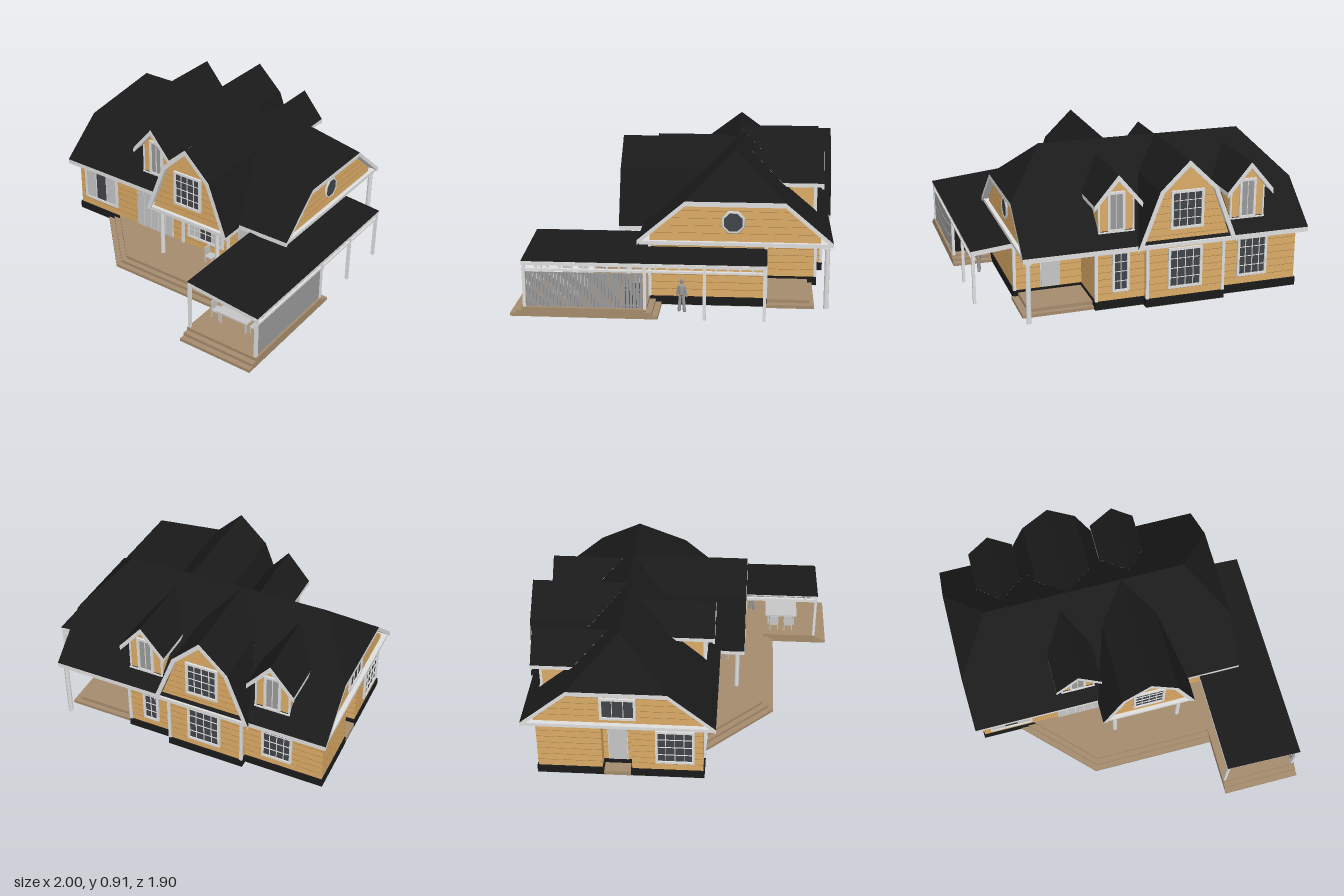
import * as THREE from 'three';

const mat = (name, color) => Object.assign(new THREE.MeshStandardMaterial({ color }), { name });

export function createModel() {
  const wood = mat('log wood', 0xdcab66), groove = mat('log joint', 0xa37a46), roof = mat('roof black', 0x1a1a1a),
    trim = mat('trim white', 0xdedede), deckM = mat('deck brown', 0xa58b6d), base = mat('foundation black', 0x1a1a1a),
    grey = mat('light grey', 0xc6c6c6), glass = mat('dark glass', 0x414448), stone = mat('figure grey', 0x9a9a9a),
    white = mat('ceiling white', 0xffffff);
  const model = new THREE.Group();

  const add = (parent, name, geo, m) => {
    const mesh = new THREE.Mesh(geo, m);
    mesh.name = name;
    parent.add(mesh);
    return mesh;
  };
  const group = (parent, name, x = 0, y = 0, z = 0, ry = 0) => {
    const g = new THREE.Group();
    g.name = name;
    g.position.set(x, y, z);
    g.rotation.y = ry;
    parent.add(g);
    return g;
  };
  // box from its limits
  const box = (parent, name, x0, x1, y0, y1, z0, z1, m) => {
    const b = add(parent, name, new THREE.BoxGeometry(x1 - x0, y1 - y0, z1 - z0), m);
    b.position.set((x0 + x1) / 2, (y0 + y1) / 2, (z0 + z1) / 2);
    return b;
  };
  const shapeOf = pts => new THREE.Shape(pts.map(p => new THREE.Vector2(p[0], p[1])));
  // horizontal slab from an [x, z] outline, grown sideways by "grow"
  const slab = (parent, name, pts, y0, y1, m, grow = 0) => {
    const geo = new THREE.ExtrudeGeometry(shapeOf(pts.map(([x, z]) => [x, -z])), {
      depth: y1 - y0, bevelEnabled: grow > 0, bevelSize: grow, bevelThickness: 0.0005, bevelSegments: 1 });
    geo.rotateX(-Math.PI / 2).translate(0, y0, 0);
    return add(parent, name, geo, m);
  };
  // sloping roof panel: dark on top, white on its edges and underside
  const panel = (parent, name, points, t = 0.03) => {
    const n = points.length, next = i => points[(i + 1) % n];
    const up = points.reduce((s, p, i) => s + (p[2] - next(i)[2]) * (p[0] + next(i)[0]), 0);
    const p = up > 0 ? points : [...points].reverse();
    const low = p.map(([x, y, z]) => [x, y - t, z]), v = [];
    for (let i = 1; i < n - 1; i++) v.push(...p[0], ...p[i], ...p[i + 1]);
    const top = v.length / 3;
    for (let i = 1; i < n - 1; i++) v.push(...low[0], ...low[i + 1], ...low[i]);
    for (let i = 0; i < n; i++) {
      const j = (i + 1) % n;
      v.push(...low[i], ...low[j], ...p[j], ...low[i], ...p[j], ...p[i]);
    }
    const geo = new THREE.BufferGeometry();
    geo.setAttribute('position', new THREE.Float32BufferAttribute(v, 3));
    geo.computeVertexNormals();
    geo.addGroup(0, top, 0);
    geo.addGroup(top, v.length / 3 - top, 1);
    return add(parent, name, geo, [roof, trim]);
  };
  // framed window facing local +z, centred on its origin
  const windowUnit = (parent, name, x, y, z, ry, w, h, cols, rows, curtains = false, pane = glass) => {
    const g = group(parent, name, x, y, z, ry), f = 0.015;
    box(g, 'pane', -w / 2, w / 2, -h / 2, h / 2, 0, 0.005, pane);
    for (const s of [-1, 1]) {
      box(g, 'jamb', s * w / 2 - f / 2, s * w / 2 + f / 2, -h / 2 - f / 2, h / 2 + f / 2, 0, 0.014, trim);
      box(g, 'rail', -w / 2, w / 2, s * h / 2 - f / 2, s * h / 2 + f / 2, 0, 0.014, trim);
      if (curtains) box(g, 'curtain', s * w / 3 - w / 6, s * w / 3 + w / 6, -h / 2, h / 2, 0.004, 0.008, grey);
    }
    for (let i = 1; i < cols; i++) box(g, 'mullion', -w / 2 + w * i / cols - 0.002, -w / 2 + w * i / cols + 0.002, -h / 2, h / 2, 0, 0.011, trim);
    for (let i = 1; i < rows; i++) box(g, 'bar', -w / 2, w / 2, -h / 2 + h * i / rows - 0.0015, -h / 2 + h * i / rows + 0.0015, 0, 0.01, trim);
  };
  // panelled door facing local +z
  const door = (parent, x, z, ry, w, leaves) => {
    const g = group(parent, 'door', x, 0.06, z, ry);
    box(g, 'doorFrame', -w / 2, w / 2, 0, 0.3, 0, 0.008, trim);
    const l = w / leaves;
    for (let i = 0; i < leaves; i++) box(g, 'doorLeaf', -w / 2 + i * l + 0.004, -w / 2 + (i + 1) * l - 0.004, 0.004, 0.285, 0, 0.012, grey);
  };

  // ground floor: foundation, log walls and joints, with a back porch and a side entry notch
  const plan = [[-0.96, 0.15], [0.74, 0.15], [0.74, -0.54], [0.32, -0.54], [0.32, -0.85], [0.02, -0.85], [0.02, -0.9],
    [-0.46, -0.9], [-0.46, -0.85], [-0.96, -0.85], [-0.96, -0.46], [-0.88, -0.46], [-0.88, -0.28], [-0.96, -0.28]];
  slab(model, 'floorSlab', plan, 0.001, 0.01, grey, 0.007);
  slab(model, 'foundation', plan, 0.004, 0.055, base, 0.008);
  slab(model, 'logWalls', plan, 0.05, 0.39, wood);
  for (let y = 0.1; y < 0.38; y += 0.045) slab(model, 'logJoint', plan, y, y + 0.002, groove, 0.001);
  for (const [x, z] of [[0.74, 0.15], [0.74, -0.54], [0.32, -0.85], [0.02, -0.9], [-0.46, -0.9]])
    box(model, 'cornerBoard', x - 0.009, x + 0.009, 0.056, 0.385, z - 0.009, z + 0.009, trim);

  // attic with end gables
  const attic = [[0.15, 0.39], [0.15, 0.43], [-0.07, 0.62], [-0.64, 0.62], [-0.86, 0.43], [-0.86, 0.39]];
  const atticGeo = new THREE.ExtrudeGeometry(shapeOf(attic.map(([z, y]) => [-z, y])), { depth: 1.7, bevelEnabled: false });
  add(model, 'atticGables', atticGeo.rotateY(Math.PI / 2).translate(-0.96, 0, 0), wood);
  for (let y = 0.45; y < 0.6; y += 0.045) {
    const d = (y - 0.43) * 1.15;
    box(model, 'gableJoint', -0.961, 0.741, y, y + 0.002, -0.85 + d, 0.14 - d, groove);
  }
  box(model, 'eaveBoard', -0.99, 0.765, 0.38, 0.402, -0.92, 0.21, trim);
  box(model, 'porchCeiling', 0.325, 0.76, 0.376, 0.381, -0.915, -0.545, white);

  // main roof with clipped end gables
  const RZ = -0.355;
  for (const s of [1, -1]) {
    const eave = RZ + s * 0.578, clip = RZ + s * 0.295;
    panel(model, 'mainRoof', [[-1, 0.41, eave], [0.775, 0.41, eave], [0.775, 0.65, clip], [0.53, 0.91, RZ], [-0.76, 0.91, RZ], [-1, 0.65, clip]]);
  }
  for (const [x, r] of [[0.775, 0.53], [-1, -0.76]])
    panel(model, 'roofHip', [[x, 0.65, RZ + 0.295], [x, 0.65, RZ - 0.295], [r, 0.91, RZ]]);

  // shared builder for cross gables and dormers; half profile runs from ridge to eave
  const onRoof = y => (0.91 - y) / 0.877;
  const roofGable = (name, cx, ry, half, inner, front, wall, wallHalf) => {
    const g = group(model, name, cx, 0, RZ, ry);
    const mirror = h => [...h.slice(1).reverse().map(([x, y]) => [-x, y]), ...h];
    for (const s of [1, -1]) for (let i = 0; i + 1 < half.length; i++) {
      const [x0, y0] = half[i], [x1, y1] = half[i + 1];
      panel(g, 'gableRoof', [[s * x0, y0, front], [s * x0, y0, onRoof(y0)], [s * x1, y1, onRoof(y1)], [s * x1, y1, front]], 0.025);
    }
    const board = shapeOf([...mirror(half.map(([x, y]) => [x, y - 0.004])), ...mirror(inner).reverse()]);
    add(g, 'bargeBoard', new THREE.ExtrudeGeometry(board, { depth: 0.014, bevelEnabled: false }).translate(0, 0, front - 0.012), trim);
    const face = new THREE.ExtrudeGeometry(shapeOf(mirror(wallHalf)), { depth: wall - 0.1, bevelEnabled: false });
    add(g, 'gableWall', face.translate(0, 0, 0.1), wood);
    return g;
  };
  const gambrel = [[0, 0.908], [0.178, 0.735], [0.308, 0.395]], gambrelIn = [[0, 0.872], [0.155, 0.722], [0.28, 0.395]];
  for (const [cx, ry, front, wall] of [[0.12, 0, 0.73, 0.7], [-0.215, Math.PI, 0.595, 0.56]]) {
    const g = roofGable('crossGable', cx, ry, gambrel, gambrelIn, front, wall, [[0, 0.875], [0.157, 0.722], [0.28, 0.395]]);
    for (let y = 0.45; y < 0.72; y += 0.045) {
      const w = 0.275 - (y - 0.4) * 0.39;
      box(g, 'gableJoint', -w, w, y, y + 0.002, wall - 0.01, wall + 0.001, groove);
    }
    box(g, 'gableSill', -0.3, 0.3, 0.385, 0.408, 0.5, front - 0.005, trim);
    windowUnit(g, 'gableWindow', 0, 0.605, wall, 0, 0.19, 0.22, 4, 4);
  }
  for (const [cx, ry, front] of [[-0.295, 0, 0.545], [-0.63, Math.PI, 0.535], [0.195, Math.PI, 0.535]]) {
    const g = roofGable('dormer', cx, ry, [[0, 0.84], [0.147, 0.665]], [[0, 0.803], [0.147, 0.63]], front, 0.485,
      [[0, 0.808], [0.108, 0.68], [0.108, 0.45]]);
    windowUnit(g, 'dormerWindow', 0, 0.605, 0.485, 0, 0.09, 0.23, 2, 1, false, stone);
    for (const s of [-1, 1]) box(g, 'dormerCorner', s * 0.105 - 0.005, s * 0.105 + 0.005, 0.48, 0.675, 0.475, 0.491, trim);
    box(g, 'dormerSill', -0.112, 0.112, 0.472, 0.486, 0.47, 0.497, trim);
  }

  // ground floor openings
  windowUnit(model, 'frontLeftWindow', -0.77, 0.24, 0.15, 0, 0.27, 0.23, 3, 1, true);
  windowUnit(model, 'frontCentreWindow', 0.12, 0.245, 0.15, 0, 0.27, 0.23, 6, 4, true);
  windowUnit(model, 'frontRightWindow', 0.61, 0.235, 0.15, 0, 0.13, 0.16, 3, 5, true);
  door(model, -0.3, 0.15, 0, 0.3, 5);
  door(model, 0.425, 0.15, 0, 0.1, 1);
  for (const [x, z, w, c] of [[-0.215, -0.9, 0.2, 4], [-0.67, -0.85, 0.18, 4], [0.17, -0.85, 0.09, 2]])
    windowUnit(model, 'backWindow', x, 0.235, z, Math.PI, w, 0.24, c, 4);
  windowUnit(model, 'leftWindow', -0.96, 0.235, -0.02, -Math.PI / 2, 0.22, 0.23, 4, 4);
  windowUnit(model, 'leftGableWindow', -0.96, 0.51, RZ, -Math.PI / 2, 0.2, 0.14, 3, 1);
  door(model, 0.52, -0.54, Math.PI, 0.12, 1);
  door(model, -0.88, -0.37, -Math.PI / 2, 0.12, 1);
  // octagonal window in the right gable
  const oct = group(model, 'octagonWindow', 0.742, 0.52, -0.345, Math.PI / 2);
  add(oct, 'octagonPane', new THREE.CircleGeometry(0.06, 8, Math.PI / 8), glass).position.z = 0.005;
  add(oct, 'octagonFrame', new THREE.TorusGeometry(0.064, 0.01, 4, 8), trim).rotation.z = Math.PI / 8;

  // front deck in three steps
  for (let i = 0; i < 3; i++) {
    const d = i * 0.035;
    slab(model, 'deckStep', [[-0.72 + 1.414 * d, 0.15], [-0.295 + 0.414 * d, 0.575 - d], [0.505, 0.575 - d], [0.505, 0.945 - d],
      [1, 0.945 - d], [1, 0.08 + d], [0.74, 0.08 + d], [0.74, 0.15]], i * 0.019, (i + 1) * 0.019, deckM);
  }
  // back porch and side entry steps
  box(model, 'porchStep', 0.32, 0.76, 0, 0.02, -0.83, -0.54, deckM);
  box(model, 'porchFloor', 0.32, 0.72, 0.02, 0.042, -0.8, -0.54, deckM);
  box(model, 'sideStep', -0.966, -0.88, 0, 0.03, -0.46, -0.28, deckM);

  // round columns and the pilasters behind them
  const column = (x, z, y0, y1) => {
    add(model, 'column', new THREE.CylinderGeometry(0.015, 0.015, y1 - y0, 12), trim).position.set(x, (y0 + y1) / 2, z);
    box(model, 'columnHead', x - 0.018, x + 0.018, y1 - 0.02, y1, z - 0.018, z + 0.018, trim);
  };
  column(-0.1, 0.33, 0.055, 0.39);
  column(0.335, 0.33, 0.055, 0.39);
  column(0.74, -0.9, 0, 0.385);
  for (const x of [-0.065, 0.3]) box(model, 'pilaster', x - 0.009, x + 0.009, 0.056, 0.385, 0.145, 0.165, trim);

  // covered terrace: sheet roof, rafters, beams, posts
  panel(model, 'terraceRoof', [[0.505, 0.387, 0.873], [1, 0.337, 0.873], [1, 0.337, -0.547], [0.505, 0.387, -0.547]], 0.006);
  for (let i = 0; i <= 20; i++) {
    const z = -0.535 + i * 0.0697, x0 = z < 0.15 ? 0.73 : 0.507, mid = (x0 + 0.995) / 2;
    const r = add(model, 'rafter', new THREE.BoxGeometry(0.995 - x0, 0.026, 0.014), trim);
    r.position.set(mid, 0.368 - 0.101 * (mid - 0.505), z);
    r.rotation.z = -0.101;
    box(model, 'beamStrut', 0.975, 0.985, 0.29, 0.325, z - 0.005, z + 0.005, trim);
  }
  box(model, 'upperBeam', 0.97, 0.995, 0.312, 0.328, -0.547, 0.873, trim);
  box(model, 'lowerBeam', 0.97, 0.995, 0.28, 0.292, -0.547, 0.873, trim);
  box(model, 'innerBeam', 0.507, 0.525, 0.338, 0.358, 0.15, 0.87, trim);
  for (const [x, z, y0, y1] of [[0.985, 0.86, 0.055, 0.32], [0.985, 0.155, 0.05, 0.32], [0.985, -0.19, 0, 0.32], [0.985, -0.535, 0, 0.32], [0.516, 0.86, 0.055, 0.37]])
    box(model, 'terracePost', x - 0.009, x + 0.009, y0, y1, z - 0.009, z + 0.009, trim);
  // slatted side screen
  for (let z = 0.167; z < 0.85; z += 0.02) box(model, 'screenSlat', 0.98, 0.988, 0.06, 0.27, z, z + 0.017, stone);
  for (const y of [0.07, 0.165, 0.258]) box(model, 'screenRail', 0.974, 0.981, y, y + 0.008, 0.155, 0.86, stone);

  // table with chairs, and grill
  box(model, 'tableTop', 0.62, 0.84, 0.135, 0.145, 0.52, 0.74, grey);
  for (const x of [0.64, 0.82]) for (const z of [0.54, 0.72]) box(model, 'tableLeg', x - 0.005, x + 0.005, 0.055, 0.136, z - 0.005, z + 0.005, grey);
  for (const [x, z, ry] of [[0.59, 0.58, 0], [0.59, 0.68, 0], [0.87, 0.58, Math.PI], [0.87, 0.68, Math.PI], [0.22, 0.24, 0], [0.62, 0.22, 1.57]]) {
    const c = group(model, 'chair', x, 0.057, z, ry);
    box(c, 'seat', -0.03, 0.03, 0.045, 0.053, -0.03, 0.03, grey);
    box(c, 'chairBack', -0.03, -0.024, 0.05, 0.115, -0.03, 0.03, grey);
    for (const a of [-0.026, 0.026]) for (const b of [-0.026, 0.026]) box(c, 'chairLeg', a - 0.003, a + 0.003, 0, 0.046, b - 0.003, b + 0.003, grey);
  }
  box(model, 'grill', 0.88, 0.97, 0.057, 0.17, 0.19, 0.27, base);
  box(model, 'grillLid', 0.94, 0.97, 0.17, 0.2, 0.19, 0.27, base);

  // standing figures
  for (const [x, y, z, ry] of [[0.82, 0.057, 0.42, 1], [0.86, 0, -0.05, 1.3]]) {
    const f = group(model, 'figure', x, y, z, ry);
    const limb = (name, r, len, px, py, rz) => {
      const m = add(f, name, new THREE.CapsuleGeometry(r, len, 3, 8), stone);
      m.position.set(px, py, 0);
      m.rotation.z = rz;
    };
    for (const s of [-1, 1]) {
      limb('leg', 0.01, 0.085, s * 0.013, 0.053, s * 0.08);
      limb('arm', 0.007, 0.06, s * 0.025, 0.13, s * 0.18);
    }
    limb('torso', 0.019, 0.04, 0, 0.135, 0);
    limb('head', 0.012, 0.008, 0, 0.192, 0);
  }
  return model;
}
